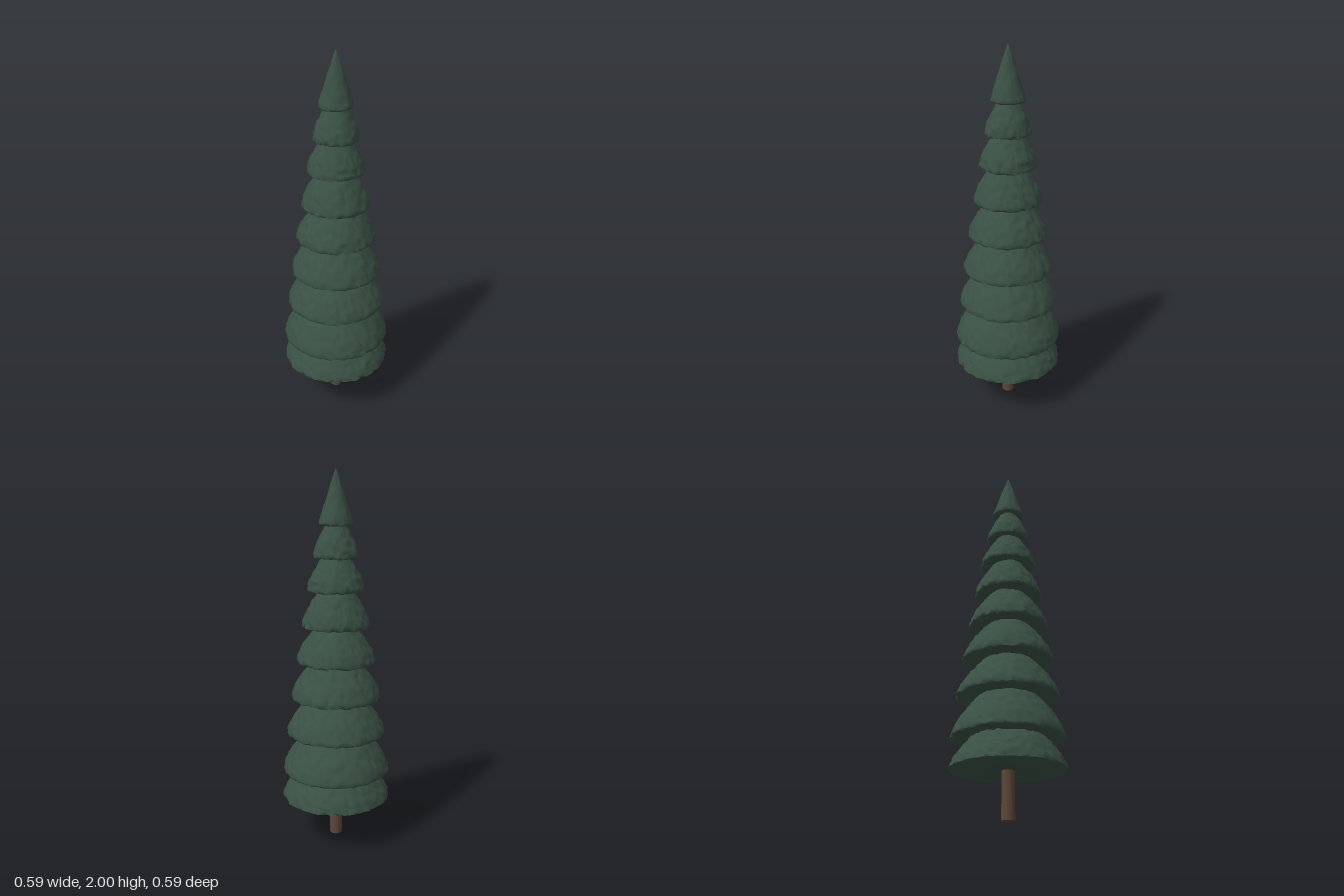
import * as THREE from 'three';
import { toCreasedNormals } from 'three/addons/utils/BufferGeometryUtils.js';

const foliageGreen = new THREE.MeshStandardMaterial({ color: 0x3a5044 });
foliageGreen.name = 'foliageGreen';
const barkBrown = new THREE.MeshStandardMaterial({ color: 0x5c4637 });
barkBrown.name = 'barkBrown';

// Each tier of branches: [bottom y, rim radius, neck radius at its top]
const tiers = [
  [0.24, 0.292, 0.19], [0.39, 0.29, 0.155], [0.605, 0.266, 0.132],
  [0.805, 0.24, 0.115], [1.005, 0.211, 0.098], [1.195, 0.18, 0.083],
  [1.385, 0.149, 0.068], [1.555, 0.118, 0.05], [1.72, 0.088, 0.002],
];
const TOP = 2;

// Seeded smooth value noise in -1..1
function hash(x, y, z) {
  let h = Math.imul(x, 374761393) ^ Math.imul(y, 668265263) ^ Math.imul(z, 1274126177);
  h = Math.imul(h ^ (h >>> 13), 1103515245);
  return (((h ^ (h >>> 16)) >>> 0) / 4294967295) * 2 - 1;
}
function noise(x, y, z) {
  const [i, j, k] = [x, y, z].map(Math.floor);
  const [u, v, w] = [x - i, y - j, z - k].map((t) => t * t * (3 - 2 * t));
  const mix = THREE.MathUtils.lerp;
  const row = (b, c) => mix(hash(i, b, c), hash(i + 1, b, c), u);
  return mix(mix(row(j, k), row(j + 1, k), v), mix(row(j, k + 1), row(j + 1, k + 1), v), w);
}

// Stacked bell-shaped skirts as one turned profile, from the base upwards
function foliageProfile() {
  const points = [new THREE.Vector2(0, tiers[0][0])];
  tiers.forEach(([y, rim, neck], i) => {
    const last = i === tiers.length - 1;
    const top = last ? TOP : tiers[i + 1][0] + 0.008;
    // underside tucked in to the rim
    const lip = i === 0 ? 0.002 : 0.012;
    points.push(new THREE.Vector2(rim - 0.012, y));
    points.push(new THREE.Vector2(rim - 0.002, y + lip * 0.4));
    // domed upper side
    const start = y + lip;
    const steps = 14;
    for (let s = 0; s <= steps; s++) {
      const t = s / steps;
      const bulge = last ? 1.1 : 1.45;
      const drop = i === 0 ? 0.19 : neck;
      points.push(new THREE.Vector2(rim - (rim - drop) * Math.pow(t, bulge), start + (top - start) * t));
    }
  });
  points.push(new THREE.Vector2(0, TOP));
  return points;
}

function foliageGeometry() {
  const geometry = new THREE.LatheGeometry(foliageProfile(), 128);
  const p = geometry.attributes.position;
  const base = tiers[0][0];
  // lumpy needles: push the surface in and out, keeping the base flat
  for (let i = 0; i < p.count; i++) {
    const x = p.getX(i), y = p.getY(i), z = p.getZ(i);
    const r = Math.hypot(x, z);
    if (r < 0.004) continue;
    const size = Math.min(1, 0.25 + r * 5);
    const n = noise(x * 45 + 100, y * 45, z * 45 + 100) * 0.007
      + noise(x * 90 + 200, y * 90, z * 90 + 200) * 0.003;
    const scale = 1 + (n * size) / r;
    const lift = y < base + 0.004 ? 0 : noise(x * 40 + 300, y * 40, z * 40 + 300) * 0.005 * size;
    p.setXYZ(i, x * scale, y + lift, z * scale);
  }
  geometry.deleteAttribute('normal');
  return toCreasedNormals(geometry, 1.0);
}

export function createModel() {
  const tree = new THREE.Group();
  tree.name = 'conifer';

  const foliage = new THREE.Mesh(foliageGeometry(), foliageGreen);
  foliage.name = 'foliage';
  tree.add(foliage);

  // slim round trunk
  const trunk = new THREE.Mesh(new THREE.CylinderGeometry(0.032, 0.034, 0.26, 24), barkBrown);
  trunk.name = 'trunk';
  trunk.position.y = 0.13;
  tree.add(trunk);

  return tree;
}
